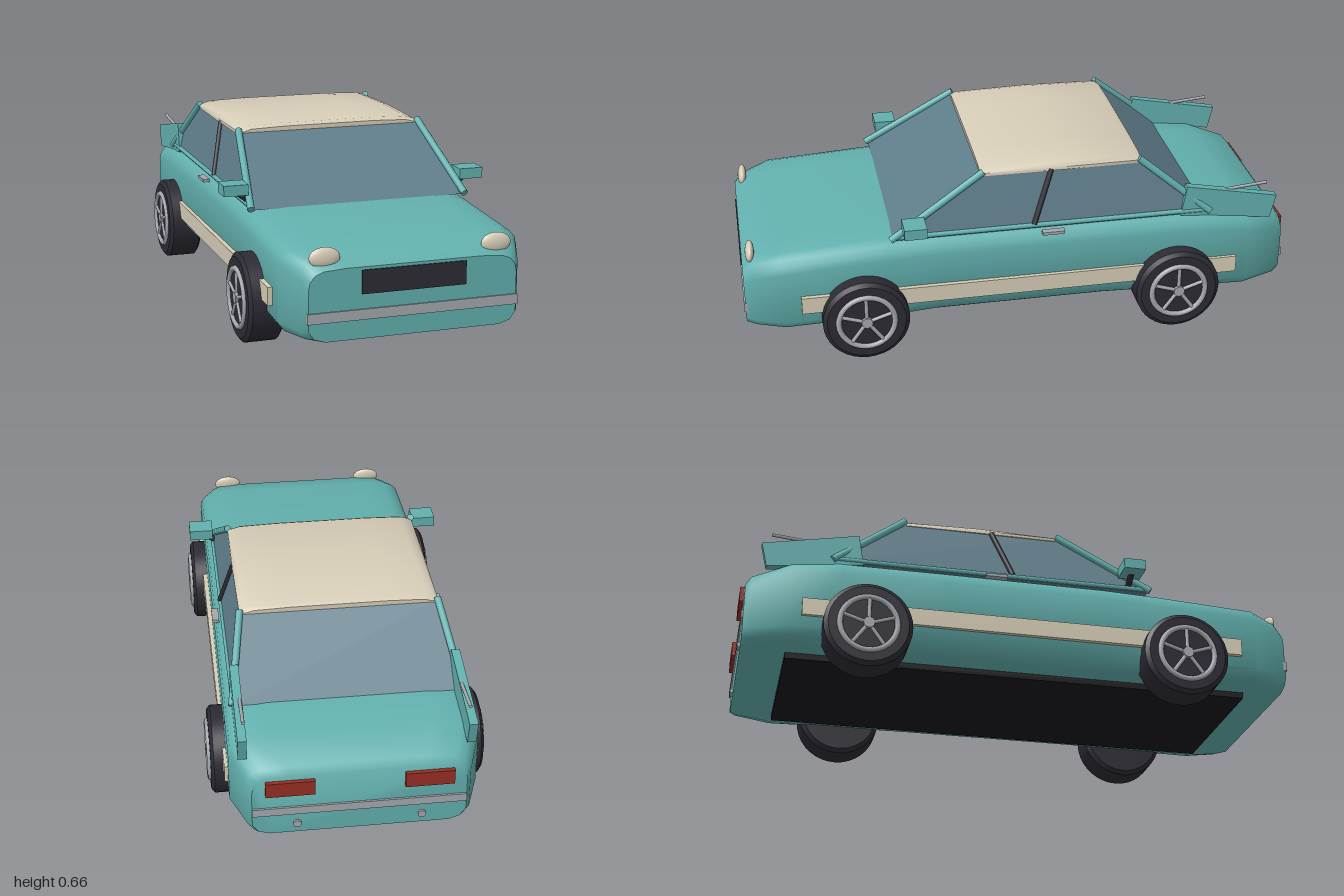
import * as THREE from 'three';
import { toCreasedNormals } from 'three/addons/utils/BufferGeometryUtils.js';

const mat = (name, color) => {
  const m = new THREE.MeshStandardMaterial({ color });
  m.name = name;
  return m;
};

// Closed skin through rings of [x, y] points, ordered from back to front
function loft(rings, crease) {
  const n = rings[0].pts.length, pos = [], idx = [];
  for (const { z, pts } of rings) for (const [x, y] of pts) pos.push(x, y, z);
  for (let i = 0; i < rings.length - 1; i++) {
    for (let j = 0; j < n; j++) {
      const k = (j + 1) % n, a = i * n + j, b = i * n + k;
      idx.push(a, b, a + n, b, b + n, a + n);
    }
  }
  const last = (rings.length - 1) * n;
  for (let j = 1; j < n - 1; j++) {
    idx.push(0, j + 1, j);
    idx.push(last, last + j, last + j + 1);
  }
  const g = new THREE.BufferGeometry();
  g.setAttribute('position', new THREE.Float32BufferAttribute(pos, 3));
  g.setIndex(idx);
  return toCreasedNormals(g, crease);
}

// Mirror a right-hand half profile (bottom to top) into a full ring
const mirrorRing = (half) => [...half, ...half.slice().reverse().map(([x, y]) => [-x, y])];

function rod(a, b, r, sides = 10) {
  const A = new THREE.Vector3(...a), B = new THREE.Vector3(...b);
  const g = new THREE.CylinderGeometry(r, r, A.distanceTo(B), sides);
  const q = new THREE.Quaternion().setFromUnitVectors(
    new THREE.Vector3(0, 1, 0), B.clone().sub(A).normalize());
  return g.applyQuaternion(q).translate(...A.add(B).multiplyScalar(0.5).toArray());
}

// Box given by its limits on each axis
const box = (x0, x1, y0, y1, z0, z1) =>
  new THREE.BoxGeometry(x1 - x0, y1 - y0, z1 - z0)
    .translate((x0 + x1) / 2, (y0 + y1) / 2, (z0 + z1) / 2);

export function createModel() {
  const car = new THREE.Group();
  car.name = 'car';
  const teal = mat('teal paint', 0x62b0ae);
  const cream = mat('cream', 0xd6cdb7);
  const glass = mat('window glass', 0x5f7d8a);
  const dark = mat('dark rubber', 0x2c2b34);
  const black = mat('underside black', 0x18171a);
  const metal = mat('grey metal', 0xa5a8ad);
  const red = mat('tail light red', 0x962e24);
  const add = (name, geo, m, parent = car) => {
    const mesh = new THREE.Mesh(geo, m);
    mesh.name = name;
    parent.add(mesh);
    return mesh;
  };

  // Body shell: z, half width, bottom, top, tuck of the sill
  const stations = [
    [-0.985, 0.36, 0.11, 0.345, 0.02], [-0.965, 0.375, 0.105, 0.37, 0.02],
    [-0.83, 0.425, 0.105, 0.41, 0.02], [-0.66, 0.425, 0.105, 0.43, 0.03],
    [-0.3, 0.423, 0.105, 0.432, 0.05], [0.3, 0.42, 0.105, 0.432, 0.05],
    [0.5, 0.42, 0.105, 0.425, 0.03], [0.86, 0.42, 0.105, 0.405, 0.02],
    [0.96, 0.38, 0.105, 0.38, 0.02], [0.995, 0.36, 0.11, 0.35, 0.02],
  ];
  add('body', loft(stations.map(([z, w, b, t, s]) => ({
    z,
    pts: mirrorRing([
      [w * 0.84, b], [w - s, b + 0.012], [w, b + 0.02 + s], [w, t - 0.065],
      [w * 0.985, t - 0.038], [w * 0.94, t - 0.017], [w * 0.86, t - 0.005], [w * 0.65, t],
    ]),
  })), 0.75), teal);
  add('underside', box(-0.29, 0.29, 0.083, 0.108, -0.83, 0.85), black);

  // Cabin glass: a box tapered from the belt line to the roof
  const cabin = new THREE.BoxGeometry(2, 2, 2).toNonIndexed();
  const p = cabin.attributes.position;
  for (let i = 0; i < p.count; i++) {
    const up = p.getY(i) > 0, front = p.getZ(i) > 0;
    p.setXYZ(i, Math.sign(p.getX(i)) * (up ? 0.342 : 0.395), up ? 0.635 : 0.425,
      up ? (front ? 0.14 : -0.435) : (front ? 0.465 : -0.685));
  }
  cabin.computeVertexNormals();
  add('cabinGlass', cabin, glass);

  // Roof panel with softened edges
  const roofRing = (w, t) => mirrorRing([
    [w, 0.625], [w, 0.636], [w * 0.96, t - 0.012], [w * 0.88, t - 0.004], [w * 0.5, t],
  ]);
  add('roof', loft([[-0.44, 0.34, 0.648], [-0.425, 0.348, 0.657], [-0.15, 0.35, 0.662],
    [0.125, 0.348, 0.657], [0.145, 0.34, 0.648]]
    .map(([z, w, t]) => ({ z, pts: roofRing(w, t) })), 0.9), cream);

  // Front and rear trim
  add('grille', box(-0.18, 0.18, 0.26, 0.34, 0.98, 0.999), dark);
  add('frontBumperStrip', box(-0.365, 0.365, 0.175, 0.21, 0.97, 1.0), metal);
  add('rearBumperStrip', box(-0.36, 0.36, 0.19, 0.22, -0.992, -0.96), metal);

  // Rear fin outline in (-z, y)
  const finShape = new THREE.Shape([[0.58, 0.42], [0.92, 0.38], [0.94, 0.468], [0.6, 0.535]]
    .map(([x, y]) => new THREE.Vector2(x, y)));

  for (const s of [1, -1]) {
    const side = new THREE.Group();
    side.name = s > 0 ? 'leftSide' : 'rightSide';
    car.add(side);
    const put = (name, geo, m) => add(name, geo, m, side);
    const sbox = (x0, x1, ...r) => (s > 0 ? box(x0, x1, ...r) : box(-x1, -x0, ...r));
    const srod = (a, b, r) => rod([a[0] * s, a[1], a[2]], [b[0] * s, b[1], b[2]], r);

    // Pillars and belt line
    put('frontPillar', srod([0.398, 0.43, 0.475], [0.346, 0.642, 0.135], 0.013), teal);
    put('rearPillar', srod([0.398, 0.43, -0.69], [0.346, 0.642, -0.43], 0.013), teal);
    put('middlePillar', srod([0.394, 0.44, -0.04], [0.345, 0.63, -0.11], 0.01), dark);
    put('beltRail', srod([0.392, 0.435, 0.46], [0.392, 0.435, -0.68], 0.009), teal);

    // Side stripe and door handle
    put('sideStripe', sbox(0.415, 0.437, 0.187, 0.25, -0.79, 0.8), cream);
    put('doorHandle', sbox(0.405, 0.43, 0.41, 0.421, -0.145, -0.065), metal);

    // Mirror
    put('mirror', sbox(0.395, 0.483, 0.472, 0.51, 0.355, 0.435), teal);
    put('mirrorBracket', srod([0.385, 0.445, 0.395], [0.43, 0.478, 0.395], 0.011), dark);

    // Lights and exhaust
    put('headlight', new THREE.SphereGeometry(1, 24, 16).scale(0.053, 0.034, 0.016)
      .rotateX(-0.1).translate(s * 0.297, 0.383, 0.965), cream);
    put('tailLight', sbox(0.15, 0.315, 0.275, 0.33, -1.0, -0.96), red);
    put('exhaust', srod([0.21, 0.148, -0.95], [0.21, 0.148, -0.993], 0.014), metal);

    // Fin and its rod
    put('rearFin', new THREE.ExtrudeGeometry(finShape, { depth: 0.03, bevelEnabled: false })
      .rotateY(Math.PI / 2).translate(s * 0.382 - 0.015, 0, 0), teal);
    put('finRod', srod([0.375, 0.497, -0.715], [0.375, 0.515, -0.905], 0.006), metal);

    // Wheels
    for (const [name, z] of [['frontWheel', 0.578], ['rearWheel', -0.563]]) {
      const wheel = new THREE.Group();
      wheel.name = name;
      wheel.position.set(s * 0.416, 0.155, z);
      wheel.rotation.y = s > 0 ? 0 : Math.PI;
      side.add(wheel);
      const tyre = new THREE.LatheGeometry([[0, -0.063], [0.14, -0.063], [0.155, -0.052],
        [0.155, 0.052], [0.14, 0.063], [0, 0.063]].map(([x, y]) => new THREE.Vector2(x, y)), 36);
      add('tyre', toCreasedNormals(tyre, 0.5).rotateZ(-Math.PI / 2), dark, wheel);
      add('rim', new THREE.TorusGeometry(0.1, 0.01, 8, 36)
        .rotateY(Math.PI / 2).translate(0.064, 0, 0), metal, wheel);
      add('hub', rod([0.05, 0, 0], [0.074, 0, 0], 0.02, 16), metal, wheel);
      for (let i = 0; i < 5; i++) {
        const a = (i * Math.PI * 2) / 5;
        add('spoke', rod([0.064, 0, 0],
          [0.064, 0.1 * Math.cos(a), 0.1 * Math.sin(a)], 0.007, 8), metal, wheel);
      }
    }
  }
  return car;
}
